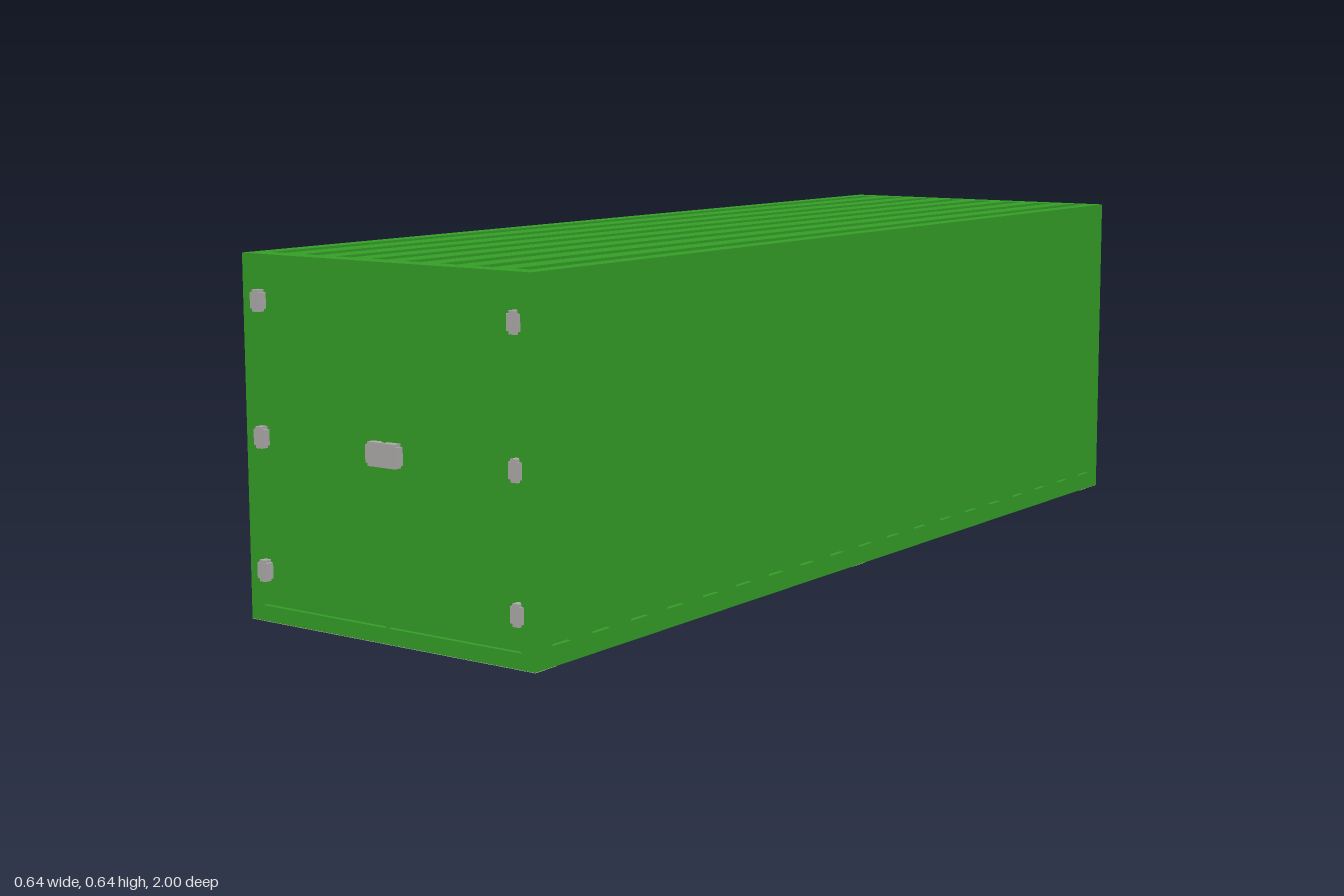
import * as THREE from 'three';

const W = 0.636, H = 0.638, Z0 = -1, Z1 = 0.994; // overall body
const D = 0.008;   // groove depth
const B = 0.0006;  // thickness of underside plates

function material(name, color) {
  const m = new THREE.MeshStandardMaterial({ color });
  m.name = name;
  return m;
}
const green = material('green paint', 0x349e26);
const grey = material('hinge metal', 0xadaaaa);
const paleGrey = material('underside metal', 0xdad6d6);

function rect(Type, x0, y0, x1, y1) {
  const p = new Type();
  p.moveTo(x0, y0);
  p.lineTo(x1, y0);
  p.lineTo(x1, y1);
  p.lineTo(x0, y1);
  p.closePath();
  return p;
}

function extrude(name, shape, depth, mat) {
  const mesh = new THREE.Mesh(new THREE.ExtrudeGeometry(shape, { depth, bevelEnabled: false }), mat);
  mesh.name = name;
  return mesh;
}

// Flat panel in the xy plane with rectangular openings, extruded toward +z
function panel(name, outline, holes) {
  const shape = rect(THREE.Shape, ...outline);
  for (const h of holes) shape.holes.push(rect(THREE.Path, ...h));
  return extrude(name, shape, D, green);
}

// Evenly spaced slots centred on u = 0
function slots(count, spacing, width, v0, v1) {
  return Array.from({ length: count }, (_, i) => {
    const c = (i - (count - 1) / 2) * spacing;
    return [c - width / 2, v0, c + width / 2, v1];
  });
}

// Small plate with notched corners
function notchedPlate(name, w, h, x, y) {
  const n = 0.005, a = w / 2, b = h / 2;
  const pts = [
    [-a + n, -b], [a - n, -b], [a - n, -b + n], [a, -b + n], [a, b - n], [a - n, b - n],
    [a - n, b], [-a + n, b], [-a + n, b - n], [-a, b - n], [-a, -b + n], [-a + n, -b + n],
  ].map(p => new THREE.Vector2(...p));
  const mesh = extrude(name, new THREE.Shape(pts), 1 - Z1 + D, grey);
  mesh.position.set(x, y, Z1 - D);
  return mesh;
}

// Thin underside plate from an outline in x and z
function floorPlate(name, shape) {
  const mesh = extrude(name, shape, B, paleGrey);
  mesh.rotation.x = Math.PI / 2;
  mesh.position.y = B;
  return mesh;
}

export function createModel() {
  const model = new THREE.Group();
  model.name = 'shippingContainer';
  const hw = W / 2, top = H - D, zc = (Z0 + Z1) / 2, hl = (Z1 - Z0) / 2;

  // Inner body forms the floors of all grooves
  const body = new THREE.Mesh(new THREE.BoxGeometry(W - 2 * D, top - B, Z1 - Z0 - 2 * D), green);
  body.position.set(0, (top + B) / 2, zc);
  body.name = 'innerBody';
  model.add(body);

  // Side walls with vertical grooves
  for (const s of [1, -1]) {
    const wall = panel(s > 0 ? 'leftWall' : 'rightWall', [-hl, B, hl, top], slots(19, 0.1033, 0.048, 0.035, 0.605));
    wall.rotation.y = s * Math.PI / 2;
    wall.position.set(s * (hw - D), 0, zc);
    model.add(wall);
  }

  // Roof with lengthwise grooves
  const roof = panel('roof', [-hw, -Z1, hw, -Z0], slots(8, 0.077, 0.035, -0.957, 0.97));
  roof.rotation.x = -Math.PI / 2;
  roof.position.y = top;
  model.add(roof);

  // Back wall with vertical grooves
  const back = panel('backWall', [-hw + D, B, hw - D, top], slots(7, 0.086, 0.035, 0.035, 0.605));
  back.rotation.y = Math.PI;
  back.position.z = Z0 + D;
  model.add(back);

  // Door frame with two recessed door leaves
  const front = panel('doorFrame', [-hw + D, B, hw - D, top],
    [[-0.29, 0.028, -0.003, 0.602], [0.003, 0.028, 0.29, 0.602]]);
  front.position.z = Z1 - D;
  model.add(front);

  // Hinges and lock
  for (const x of [-0.284, 0.284])
    for (const y of [0.09, 0.323, 0.558]) model.add(notchedPlate('hinge', 0.024, 0.038, x, y));
  model.add(notchedPlate('doorLock', 0.071, 0.041, 0, 0.32));

  // Underside: rear cross member, and a wide front spine between two cross members
  model.add(floorPlate('rearCrossMember', rect(THREE.Shape, -hw, Z0, hw, -0.92)));
  const half = [[hw, 0], [hw, 0.045], [0.205, 0.045], [0.18, 0.08], [0.18, 0.905], [0.205, 0.94], [hw, 0.94], [hw, Z1]];
  const mirrored = half.map(([x, z]) => [-x, z]).reverse();
  const outline = [...half, ...mirrored].map(p => new THREE.Vector2(...p));
  model.add(floorPlate('frontSpine', new THREE.Shape(outline)));
  return model;
}
